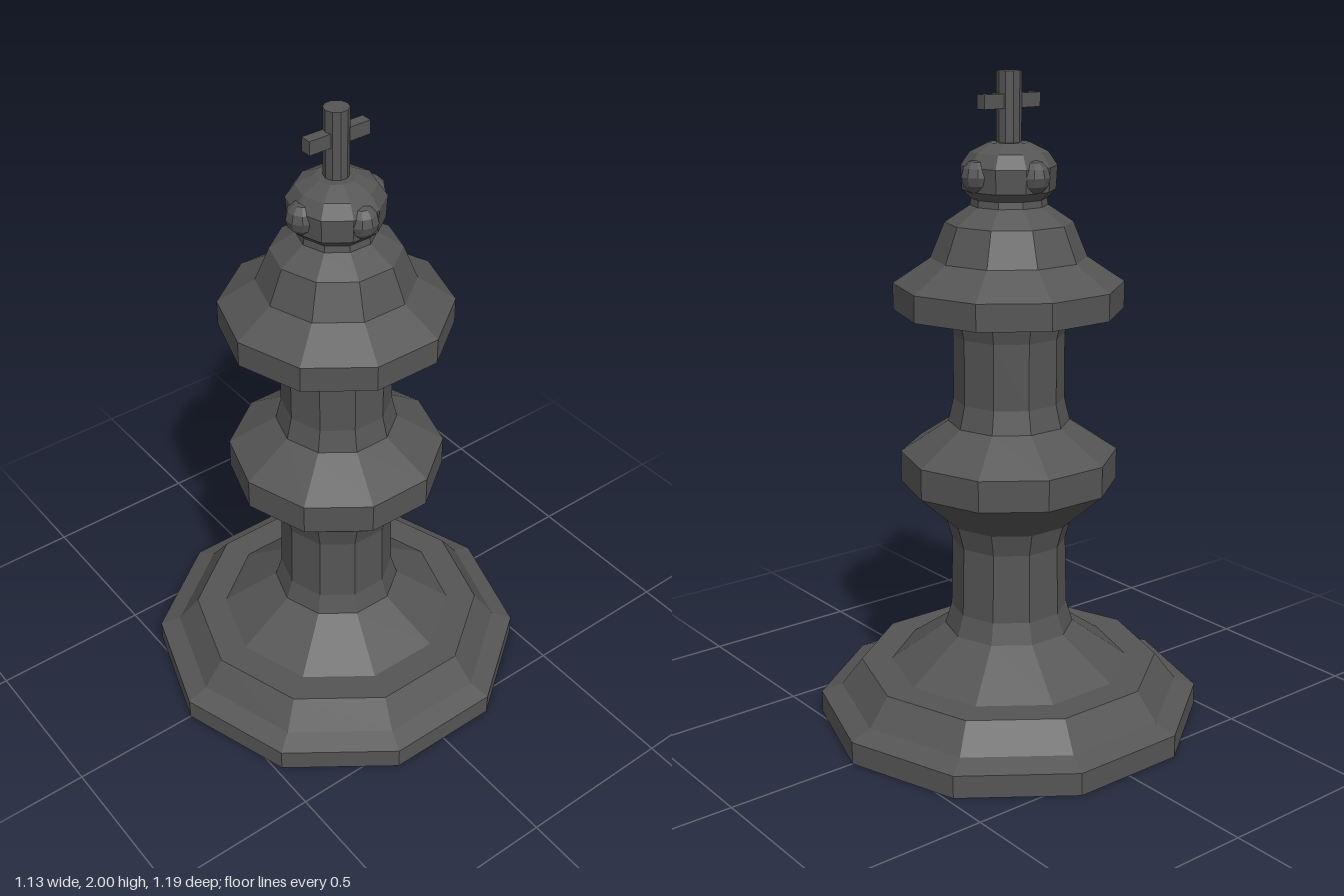
import * as THREE from 'three';

const SIDES = 10;

export function createModel() {
  const model = new THREE.Group();
  model.name = 'chessKing';
  const material = new THREE.MeshStandardMaterial({ color: 0x555555, flatShading: true });

  const add = (name, geometry, x = 0, y = 0, z = 0) => {
    const mesh = new THREE.Mesh(geometry, material);
    mesh.name = name;
    mesh.position.set(x, y, z);
    model.add(mesh);
    return mesh;
  };

  // Ten-sided turned part from [radius, height] pairs, bottom to top
  const turned = (name, profile) =>
    add(name, new THREE.LatheGeometry(profile.map(([r, y]) => new THREE.Vector2(r, y)), SIDES));

  // Stepped foot
  turned('base', [
    [0, 0], [0.595, 0], [0.595, 0.07], [0.53, 0.095], [0.465, 0.18],
    [0.37, 0.18], [0.2, 0.3],
  ]);

  // Stem with the bulging ring in the middle
  turned('stem', [
    [0.2, 0.3], [0.18, 0.365], [0.175, 0.58], [0.195, 0.65],
    [0.33, 0.77], [0.33, 0.865], [0.185, 0.96], [0.168, 1.03],
    [0.168, 1.23], [0.187, 1.305],
  ]);

  // Wide collar and bell-shaped shoulder
  turned('collar', [
    [0.187, 1.305], [0.345, 1.305], [0.345, 1.385], [0.233, 1.46],
    [0.19, 1.565], [0.115, 1.615],
  ]);

  // Small crown
  turned('crown', [
    [0.115, 1.615], [0.112, 1.635], [0.138, 1.66], [0.142, 1.73],
    [0.115, 1.77], [0.06, 1.797], [0, 1.797],
  ]);

  // Four beads around the crown
  for (let i = 0; i < 4; i++) {
    const angle = (i * Math.PI) / 2;
    add('crownBead', new THREE.SphereGeometry(0.05, 10, 6),
      0.113 * Math.sin(angle), 1.705, 0.115 * Math.cos(angle));
  }

  // Cross on top, its arms along z
  add('crossPost', new THREE.CylinderGeometry(0.037, 0.037, 0.22, SIDES), 0, 1.89, 0);
  add('crossBar', new THREE.BoxGeometry(0.035, 0.042, 0.205), 0, 1.915, 0);

  return model;
}
